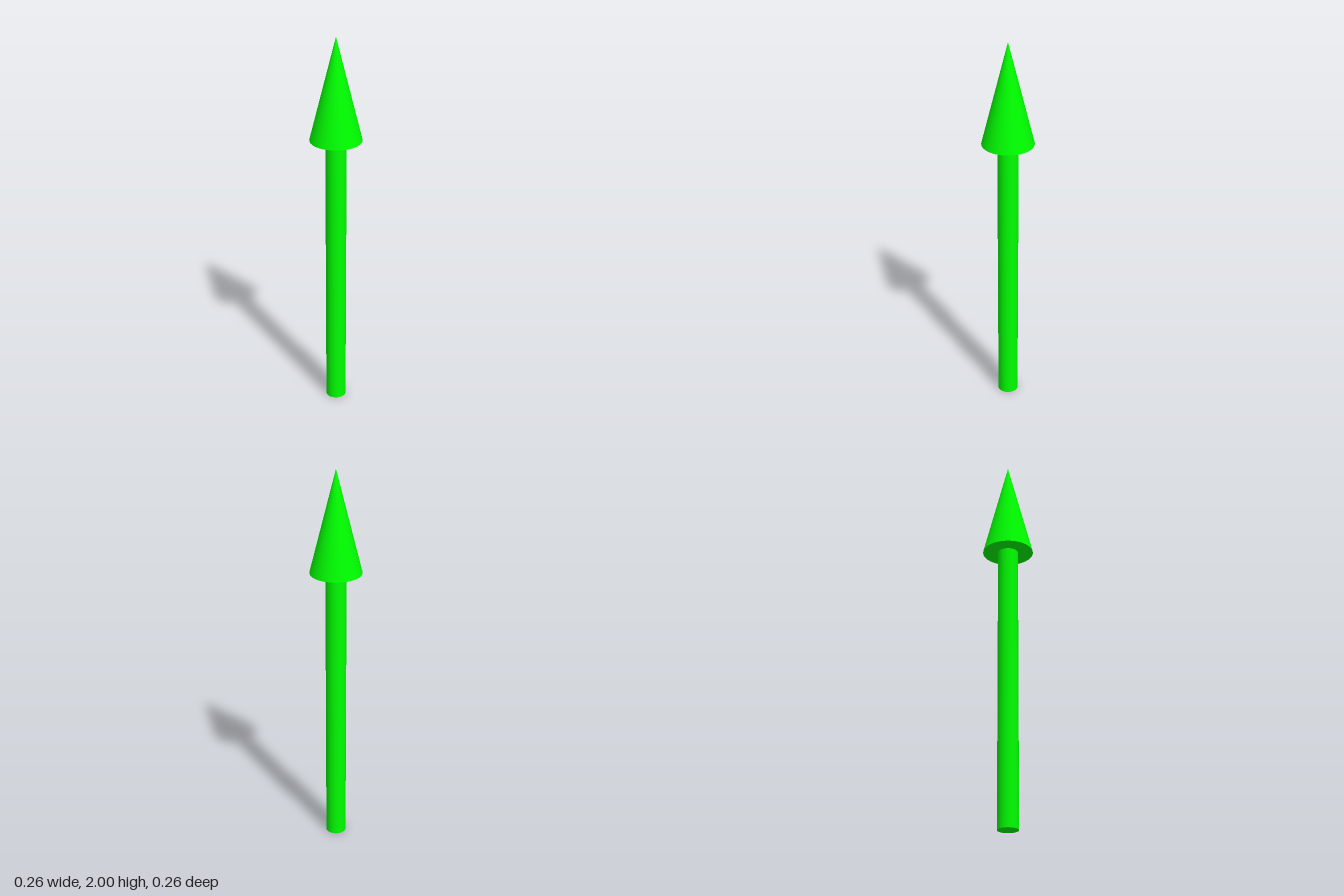
import * as THREE from 'three';

const SIDES = 32;
const HEIGHT = 2;
const HEAD_BASE = 1.48;

export function createModel() {
  const arrow = new THREE.Group();
  arrow.name = 'arrow';
  const green = new THREE.MeshStandardMaterial({ color: 0x00ff00 });

  const addPart = (name, geometry, y) => {
    const mesh = new THREE.Mesh(geometry, green);
    mesh.name = name;
    mesh.position.y = y;
    arrow.add(mesh);
  };

  // Round shaft standing on the ground
  addPart('shaft', new THREE.CylinderGeometry(0.052, 0.052, HEAD_BASE, SIDES), HEAD_BASE / 2);

  // Pointed head with a closed base
  addPart('head', new THREE.ConeGeometry(0.13, HEIGHT - HEAD_BASE, SIDES), (HEIGHT + HEAD_BASE) / 2);

  return arrow;
}
